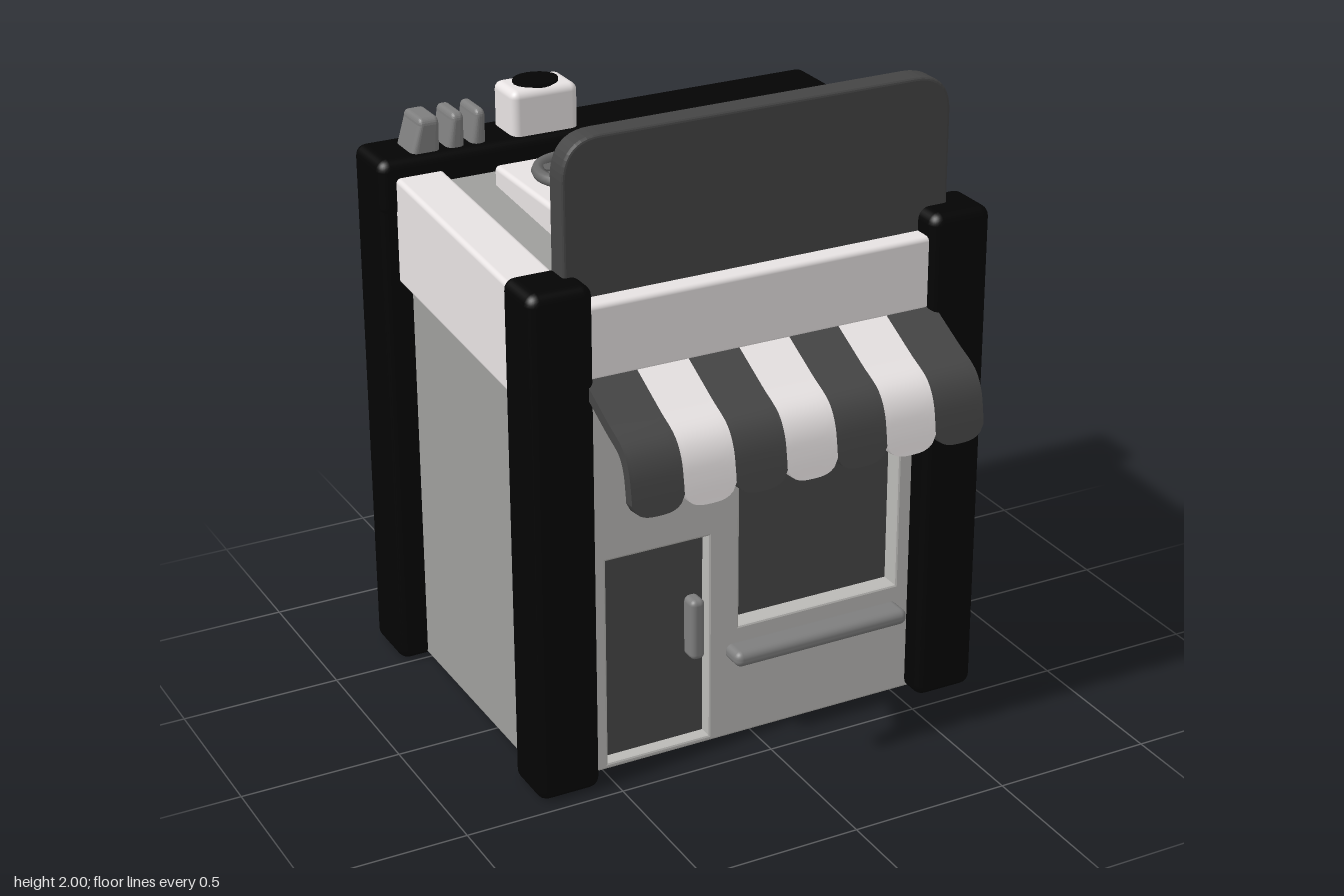
import * as THREE from 'three';
import { RoundedBoxGeometry } from 'three/addons/geometries/RoundedBoxGeometry.js';

const mat = (name, color) => {
  const m = new THREE.MeshStandardMaterial({ color });
  m.name = name;
  return m;
};

export function createModel() {
  const group = new THREE.Group();
  const black = mat('black', 0x040404);
  const dark = mat('dark grey', 0x454545);
  const glass = mat('door and window grey', 0x484848);
  const metal = mat('fan grey', 0x686868);
  const lightMetal = mat('light metal grey', 0x7e7e7e);
  const wall = mat('wall grey', 0x9e9e9c);
  const front = mat('front wall grey', 0xbbbab7);
  const white = mat('off white', 0xfdf8f8);

  const add = (name, geometry, material, x = 0, y = 0, z = 0) => {
    const mesh = new THREE.Mesh(geometry, material);
    mesh.name = name;
    mesh.position.set(x, y, z);
    group.add(mesh);
    return mesh;
  };
  // Rounded box given by its limits
  const box = (name, material, x0, x1, y0, y1, z0, z1, r = 0.01) =>
    add(name, new RoundedBoxGeometry(x1 - x0, y1 - y0, z1 - z0, 3, r), material,
      (x0 + x1) / 2, (y0 + y1) / 2, (z0 + z1) / 2);
  // Raise a part gently towards the back
  const slope = (mesh) => {
    const p = mesh.geometry.attributes.position;
    for (let i = 0; i < p.count; i++) {
      p.setY(i, p.getY(i) + 0.07 * (0.27 - p.getZ(i) - mesh.position.z));
    }
  };

  // Body and roof
  box('body', wall, -0.685, 0.685, 0.01, 1.5, -0.665, 0.295);
  slope(box('roof', wall, -0.6, 0.6, 1.45, 1.54, -0.6, 0.36));

  // Front wall with openings for the door and window
  const rect = (Type, x0, x1, y0, y1) => new Type(
    [[x0, y0], [x1, y0], [x1, y1], [x0, y1]].map(([x, y]) => new THREE.Vector2(x, y)));
  const facade = rect(THREE.Shape, -0.6, 0.6, 0.012, 1.4);
  facade.holes.push(
    rect(THREE.Path, -0.492, -0.141, 0.018, 0.707),
    rect(THREE.Path, -0.052, 0.507, 0.368, 0.882));
  add('frontWall', new THREE.ExtrudeGeometry(facade, {
    depth: 0.085, bevelThickness: 0.007, bevelSize: 0.007, bevelSegments: 2,
  }), front, 0, 0, 0.285);
  box('frontBand', white, -0.6, 0.6, 1.3, 1.53, 0.3, 0.43, 0.015);

  // Door, window and sill
  box('door', glass, -0.5, -0.133, 0.012, 0.715, 0.28, 0.336, 0.003);
  box('doorHandle', lightMetal, -0.21, -0.163, 0.3, 0.5, 0.325, 0.39, 0.018);
  box('window', glass, -0.06, 0.515, 0.36, 0.89, 0.28, 0.316, 0.003);
  box('windowSill', lightMetal, -0.09, 0.505, 0.272, 0.322, 0.36, 0.452, 0.022);

  // Corner posts and sloping side parapets
  for (const s of [-1, 1]) {
    const mid = (a, b) => [Math.min(s * a, s * b), Math.max(s * a, s * b)];
    box('frontPost', black, ...mid(0.545, 0.745), 0, 1.6, 0.27, 0.457, 0.035);
    box('backPost', black, ...mid(0.565, 0.775), 0, 1.68, -0.715, -0.505, 0.035);
    slope(box('sideParapet', white, ...mid(0.57, 0.725), 1.235, 1.572, -0.55, 0.32, 0.015));
  }

  // Back beam with a painted panel
  box('backBeam', black, -0.775, 0.775, 1.5, 1.68, -0.715, -0.5, 0.035);
  box('backBeamLower', black, -0.6, 0.6, 1.29, 1.6, -0.708, -0.6);
  box('backPanel', dark, -0.57, 0.57, 1.295, 1.645, -0.716, -0.707, 0.003);

  // Sign board with rounded top corners
  const sign = new THREE.Shape();
  sign.moveTo(-0.59, 1.5);
  sign.lineTo(0.633, 1.5);
  sign.lineTo(0.633, 1.88);
  sign.quadraticCurveTo(0.633, 1.99, 0.52, 1.99);
  sign.lineTo(-0.48, 1.99);
  sign.quadraticCurveTo(-0.585, 1.99, -0.59, 1.88);
  add('signBoard', new THREE.ExtrudeGeometry(sign, {
    depth: 0.06, bevelThickness: 0.01, bevelSize: 0.01, bevelSegments: 3, curveSegments: 10,
  }), dark, 0, 0, 0.3);

  // Striped awning: each strip follows a bent path and ends in a scallop
  const path = new THREE.CatmullRomCurve3([
    [0.36, 1.325], [0.47, 1.27], [0.56, 1.225], [0.648, 1.182], [0.677, 1.138], [0.69, 1.08], [0.7, 1.0],
  ].map(([z, y]) => new THREE.Vector3(0, y, z)));
  const count = 7, width = 1.14 / count;
  for (let i = 0; i < count; i++) {
    const g = new THREE.BoxGeometry(width, 1, 0.036, 14, 28, 1);
    const p = g.attributes.position;
    for (let k = 0; k < p.count; k++) {
      const u = p.getX(k) / (width / 2);
      const end = 1 - 0.11 * (1 - Math.sqrt(1 - 0.95 * Math.abs(u) ** 3));
      const t = (0.5 - p.getY(k)) * end;
      const c = path.getPointAt(t), d = path.getTangentAt(t);
      const n = p.getZ(k);
      p.setY(k, c.y + d.z * n);
      p.setZ(k, c.z - d.y * n);
    }
    g.computeVertexNormals();
    add('awningStripe', g, i % 2 ? white : dark, -0.568 + width * (i + 0.5));
  }

  // Roof fan unit
  box('fanUnit', white, -0.445, -0.05, 1.5, 1.648, -0.42, 0.005, 0.015);
  const fx = -0.248, fz = -0.235;
  add('fanPlate', new THREE.CylinderGeometry(0.135, 0.135, 0.02, 32), dark, fx, 1.646, fz);
  const ring = add('fanRing', new THREE.TorusGeometry(0.127, 0.02, 8, 36), metal, fx, 1.66, fz);
  ring.rotation.x = Math.PI / 2;
  add('fanHub', new THREE.CylinderGeometry(0.05, 0.055, 0.03, 20), metal, fx, 1.662, fz);
  for (let i = 0; i < 8; i++) {
    const a = (i / 8) * Math.PI * 2;
    const blade = add('fanBlade', new THREE.BoxGeometry(0.09, 0.012, 0.058), metal,
      fx + Math.cos(a) * 0.08, 1.66, fz - Math.sin(a) * 0.08);
    blade.rotation.set(0.2, a, 0, 'YXZ');
  }

  // Roof hatch
  box('hatchFrame', dark, 0.11, 0.405, 1.5, 1.63, -0.42, -0.125, 0.03);
  box('hatchLid', metal, 0.135, 0.38, 1.55, 1.634, -0.395, -0.15, 0.01);

  // Vent fins on the back beam, leaning inwards
  for (const [x0, x1] of [[-0.67, -0.565], [-0.55, -0.485], [-0.47, -0.415]]) {
    const fin = box('ventFin', lightMetal, x0, x1, 1.62, 1.785, -0.66, -0.53, 0.022);
    const p = fin.geometry.attributes.position;
    for (let i = 0; i < p.count; i++) {
      if (p.getY(i) > 0) p.setX(i, p.getX(i) + ((x1 - x0) / 2 - p.getX(i)) * 0.35);
    }
    fin.geometry.computeVertexNormals();
  }

  // Chimney with a dark opening
  box('chimney', white, -0.33, -0.11, 1.64, 1.82, -0.675, -0.525, 0.025);
  const flue = add('chimneyOpening', new THREE.CylinderGeometry(0.062, 0.062, 0.018, 20), black, -0.22, 1.82, -0.6);
  flue.scale.x = 1.15;

  return group;
}
